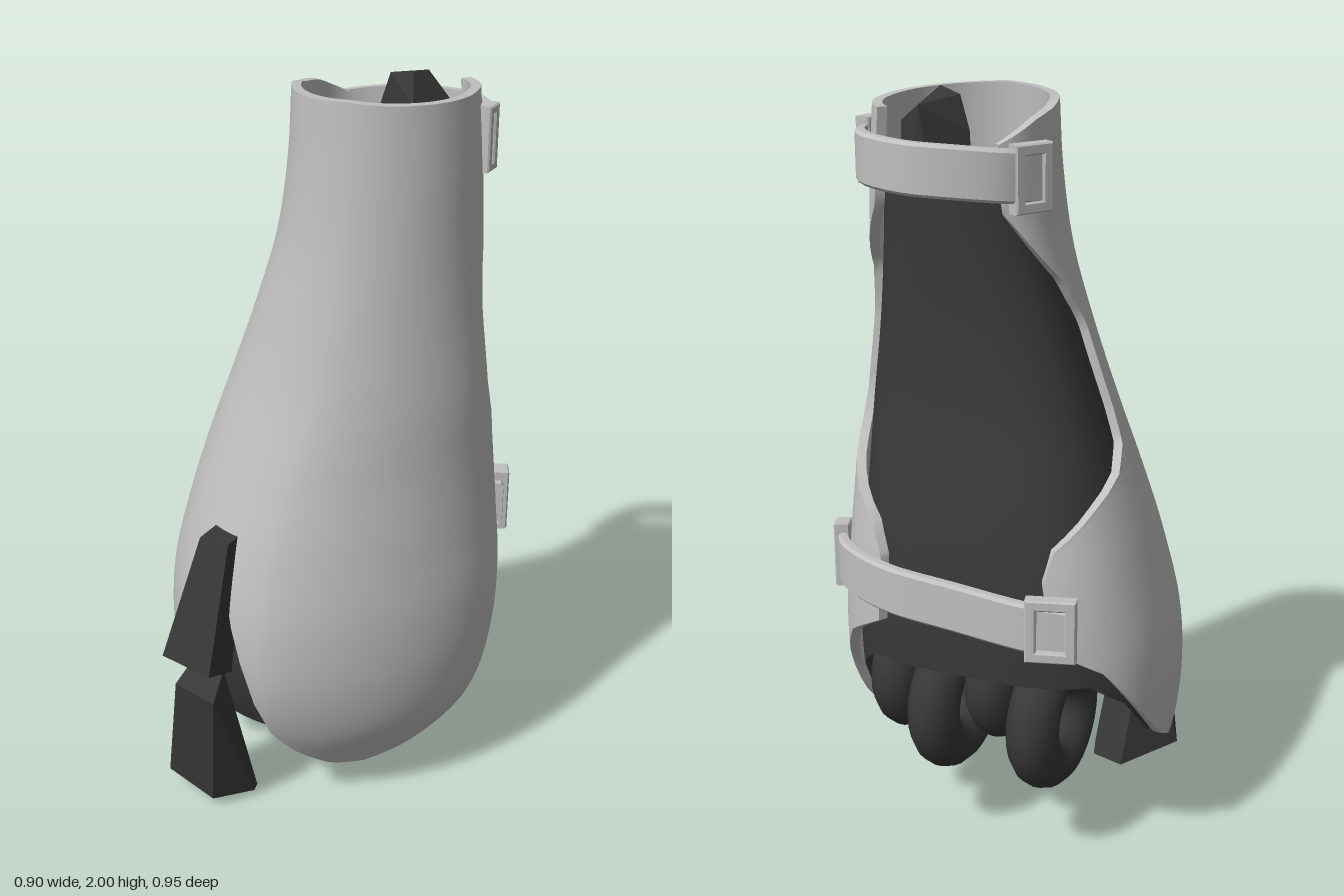
import * as THREE from 'three';
import { mergeGeometries, toCreasedNormals } from 'three/addons/utils/BufferGeometryUtils.js';
import { ConvexGeometry } from 'three/addons/geometries/ConvexGeometry.js';

const grey = new THREE.MeshStandardMaterial({ color: 0xc0c0c0, side: THREE.DoubleSide });
grey.name = 'armour grey';
const dark = new THREE.MeshStandardMaterial({ color: 0x383838, side: THREE.DoubleSide });
dark.name = 'glove charcoal';

const V = (x, y, z) => new THREE.Vector3(x, y, z);

// Table lookup: each row is [key, ...values]
function table(rows, Kind = THREE.LinearInterpolant) {
  const size = rows[0].length - 1;
  const it = new Kind(rows.map(r => r[0]), rows.flatMap(r => r.slice(1)), size, new Float32Array(size));
  return k => Array.from(it.evaluate(k));
}

// Cross-sections by height: [y, right, left, front, back, centre x, roundness of the front left]
const section = table([
  [0.10, -0.36, 0.31, 0.25, -0.35, 0.00, 1.7],
  [0.25, -0.425, 0.405, 0.34, -0.40, -0.02, 1.62],
  [0.40, -0.45, 0.44, 0.385, -0.43, -0.03, 1.57],
  [0.60, -0.445, 0.45, 0.385, -0.44, -0.03, 1.55],
  [0.80, -0.40, 0.435, 0.345, -0.43, -0.02, 1.57],
  [1.00, -0.34, 0.42, 0.29, -0.39, 0.01, 1.62],
  [1.20, -0.27, 0.41, 0.24, -0.33, 0.06, 1.7],
  [1.40, -0.20, 0.39, 0.205, -0.30, 0.09, 1.78],
  [1.60, -0.14, 0.375, 0.18, -0.29, 0.11, 1.85],
  [1.80, -0.11, 0.365, 0.165, -0.29, 0.12, 1.88],
  [1.98, -0.10, 0.35, 0.155, -0.29, 0.12, 1.9],
], THREE.CubicInterpolant);

// How far the shell wraps behind its sides, in degrees: [y, on +x, on -x]
const wrap = table([[0.1, 62, 62], [0.84, 62, 62], [0.92, 56, 55], [1.0, 36, 30], [1.06, 20, 6], [1.12, 11, -3],
  [1.2, 6, -5], [1.42, 5, -5], [1.54, 10, 6], [1.64, 32, 30], [1.72, 48, 48], [1.98, 50, 50]]);

// Edge heights by angle (0 = +x, 90 = front, 180 = -x)
const shellTop = table([[-62, 1.96], [0, 1.97], [90, 1.985], [170, 1.97], [205, 1.94], [242, 1.89]]);
const shellHem = table([[-62, 0.66], [-40, 0.58], [-23, 0.45], [-8, 0.28], [8, 0.19], [30, 0.125], [50, 0.10],
  [66, 0.115], [78, 0.17], [89, 0.28], [97, 0.52], [107, 0.74], [118, 0.55], [129, 0.31], [136, 0.24], [160, 0.24],
  [180, 0.32], [200, 0.46], [220, 0.6], [242, 0.67]]);
const liningHem = table([[-90, 0.55], [-50, 0.53], [-23, 0.42], [-8, 0.26], [8, 0.18], [30, 0.13], [50, 0.105],
  [68, 0.12], [80, 0.18], [90, 0.26], [160, 0.27], [185, 0.35], [205, 0.48], [225, 0.55], [270, 0.55]]);

function around(deg, y, inset) {
  const [xr, xl, zf, zb, cx, round] = section(y);
  const cz = -0.08, a = deg * Math.PI / 180, c = Math.cos(a), s = Math.sin(a);
  const e = 2 / (s < 0 ? 2.6 : c > 0 ? round : 2.05);
  const rx = (c > 0 ? xl - cx : cx - xr) - inset;
  const rz = (s > 0 ? zf - cz : cz - zb) - inset;
  return V(cx + Math.sign(c) * Math.abs(c) ** e * rx, y, cz + Math.sign(s) * Math.abs(s) ** e * rz);
}

// Row heights: the lower rows follow the hem, the upper ones lie level up to the top
function rowHeight(t, hem, top) {
  const waist = 0.86, k = 0.4;
  return t < k ? hem + (waist - hem) * t / k : waist + (top - waist) * (t - k) / (1 - k);
}

// Surface through a grid of points fn(i, j)
function grid(nu, nv, fn, closed = false) {
  const pos = [], index = [], cols = closed ? nu : nu - 1;
  for (let j = 0; j < nv; j++) for (let i = 0; i < nu; i++) pos.push(...fn(i, j).toArray());
  for (let j = 0; j < nv - 1; j++) for (let i = 0; i < cols; i++) {
    const a = j * nu + i, b = j * nu + (i + 1) % nu;
    index.push(a, b, b + nu, a, b + nu, a + nu);
  }
  const g = new THREE.BufferGeometry();
  g.setAttribute('position', new THREE.Float32BufferAttribute(pos, 3));
  g.setIndex(index);
  return g;
}

// Open-backed shell with thickness and a thumb notch
function shellGeometry() {
  const N = 72, M = 61, t = 0.024;
  const point = (i, j, inset) => {
    const nominal = 242 - 304 * i / (N - 1);
    const y = rowHeight(j / (M - 1), shellHem(nominal)[0], shellTop(nominal)[0]);
    const [wl, wr] = wrap(y);
    return around(180 + wr - (180 + wl + wr) * i / (N - 1), y, inset);
  };
  const walls = grid(2 * N, M, (i, j) => i < N ? point(i, j, 0) : point(2 * N - 1 - i, j, t), true);
  const rim = grid(N, 2, (i, j) => point(i, M - 1, j * t));
  const hem = grid(N, 2, (i, j) => point(i, 0, (1 - j) * t));
  return toCreasedNormals(mergeGeometries([walls, rim, hem]), 0.9);
}

// Flat band following a path, upright in y
function strapGeometry(path, height, thick) {
  const curve = new THREE.CatmullRomCurve3(path.map(p => V(...p)));
  const n = 29, h = height / 2, k = 0.008;
  const profile = [[0, -h], [0, h], [thick - k, h], [thick, h - k], [thick, k - h], [thick - k, -h]];
  const ring = (i, j) => {
    const u = j / (n - 1), p = curve.getPointAt(u), d = curve.getTangentAt(u);
    const out = V(d.z, 0, -d.x).normalize();
    const [o, y] = profile[i];
    return p.addScaledVector(out, o).add(V(0, y, 0));
  };
  const m = profile.length;
  const cap = j => grid(m, 2, (i, r) => r ? ring(i, j) : ring(0, j).lerp(ring(3, j), 0.5));
  return toCreasedNormals(mergeGeometries([grid(m, n, ring, true), cap(0), cap(n - 1)]), 0.6);
}

// Rectangular buckle frame
function frameGeometry(w, h, bar, depth) {
  const rect = (path, a, b) => path.moveTo(-a, -b).lineTo(a, -b).lineTo(a, b).lineTo(-a, b).closePath();
  const s = rect(new THREE.Shape(), w / 2, h / 2);
  s.holes.push(rect(new THREE.Path(), w / 2 - bar, h / 2 - bar));
  return new THREE.ExtrudeGeometry(s, { depth, bevelEnabled: true, bevelSize: 0.004, bevelThickness: 0.004, bevelSegments: 1 })
    .translate(0, 0, -depth / 2);
}

export function createModel() {
  const model = new THREE.Group();
  const add = (name, geo, mat, pos = [0, 0, 0], rot = [0, 0, 0]) => {
    const m = new THREE.Mesh(geo, mat);
    m.name = name;
    m.position.set(...pos);
    m.rotation.set(...rot);
    model.add(m);
    return m;
  };

  add('shell', shellGeometry(), grey);

  // Glove body inside the shell, visible through the open back
  const cols = 72, rows = 46;
  const lining = grid(cols, rows, (i, j) => {
    const deg = 270 - 360 * i / cols;
    return around(deg, rowHeight(j / (rows - 1), liningHem(deg)[0], 1.8), 0.034);
  }, true);
  lining.computeVertexNormals();
  add('gloveBody', lining, dark);

  // Palm filling the inside of the glove
  const palm = add('palm', new THREE.SphereGeometry(1, 20, 14), dark, [0.02, 0.6, -0.1]);
  palm.scale.set(0.3, 0.22, 0.2);

  // Wrist: rolled cuff, plug and forearm core
  add('wristRoll', new THREE.TorusGeometry(0.14, 0.035, 8, 14), dark, [0.14, 1.6, -0.065], [Math.PI / 2, 0, 0]);
  const plug = add('wristPlug', new THREE.CylinderGeometry(1, 1, 0.02, 24), dark, [0.125, 1.5, -0.06]);
  plug.scale.set(0.235, 1, 0.2);
  add('forearmCore', new ConvexGeometry([
    V(0.12, 1.985, -0.13), V(0.19, 2.0, -0.1), V(0.21, 1.93, -0.05), V(0.26, 1.92, -0.18), V(0.18, 1.97, -0.24), V(0.09, 1.9, -0.14),
    V(0.06, 1.5, -0.19), V(0.12, 1.5, -0.05), V(0.28, 1.5, -0.1), V(0.23, 1.5, -0.24), V(0.1, 1.5, -0.24),
  ]), dark);

  // Thumb guard: two angular segments
  add('upperThumb', new ConvexGeometry([
    V(-0.2, 0.85, 0.36), V(-0.115, 0.85, 0.37), V(-0.19, 0.85, 0.28), V(-0.11, 0.85, 0.29),
    V(-0.29, 0.5, 0.43), V(-0.13, 0.5, 0.475), V(-0.25, 0.45, 0.33), V(-0.12, 0.45, 0.36),
  ]), dark);
  add('lowerThumb', new ConvexGeometry([
    V(-0.26, 0.41, 0.42), V(-0.125, 0.41, 0.465), V(-0.24, 0.455, 0.33), V(-0.14, 0.455, 0.37),
    V(-0.33, 0.05, 0.35), V(-0.17, 0.03, 0.4), V(-0.085, 0.02, 0.31), V(-0.1, 0.0, 0.26), V(-0.21, 0.02, 0.2),
  ]), dark);

  // Fingers rolled into the palm: [x, y, z, curl radius]
  [[-0.17, 0.38, -0.205, 0.13], [-0.03, 0.46, -0.19, 0.1], [0.12, 0.375, -0.205, 0.13], [0.26, 0.43, -0.17, 0.11]].forEach(([x, y, z, r]) =>
    add('finger', new THREE.TorusGeometry(r, 0.07, 12, 28), dark, [x, y, z], [0, Math.PI / 2, 0]));

  // Straps across the open back
  add('wristStrap', strapGeometry([[-0.11, 1.81, -0.17], [-0.06, 1.82, -0.255], [0.04, 1.83, -0.31], [0.16, 1.835, -0.33],
    [0.27, 1.84, -0.3], [0.335, 1.84, -0.23], [0.355, 1.84, -0.15]], 0.13, 0.025), grey);
  add('palmStrap', strapGeometry([[-0.3, 0.73, -0.4], [-0.2, 0.74, -0.425], [0, 0.755, -0.425], [0.2, 0.765, -0.41],
    [0.33, 0.775, -0.36], [0.39, 0.775, -0.295], [0.41, 0.775, -0.23]], 0.13, 0.025), grey);

  // Buckles at the strap ends
  add('wristBuckle', frameGeometry(0.1, 0.16, 0.02, 0.03), grey, [-0.105, 1.81, -0.205], [0, -2.1, 0]);
  add('wristLoop', frameGeometry(0.045, 0.16, 0.014, 0.035), grey, [0.362, 1.84, -0.165], [0, 1.45, 0]);
  add('palmBuckle', frameGeometry(0.12, 0.16, 0.02, 0.03), grey, [-0.265, 0.745, -0.435], [0, 0.3, 0]);
  add('palmLoop', frameGeometry(0.045, 0.17, 0.014, 0.035), grey, [0.412, 0.775, -0.28], [0, 1.95, 0]);

  return model;
}
